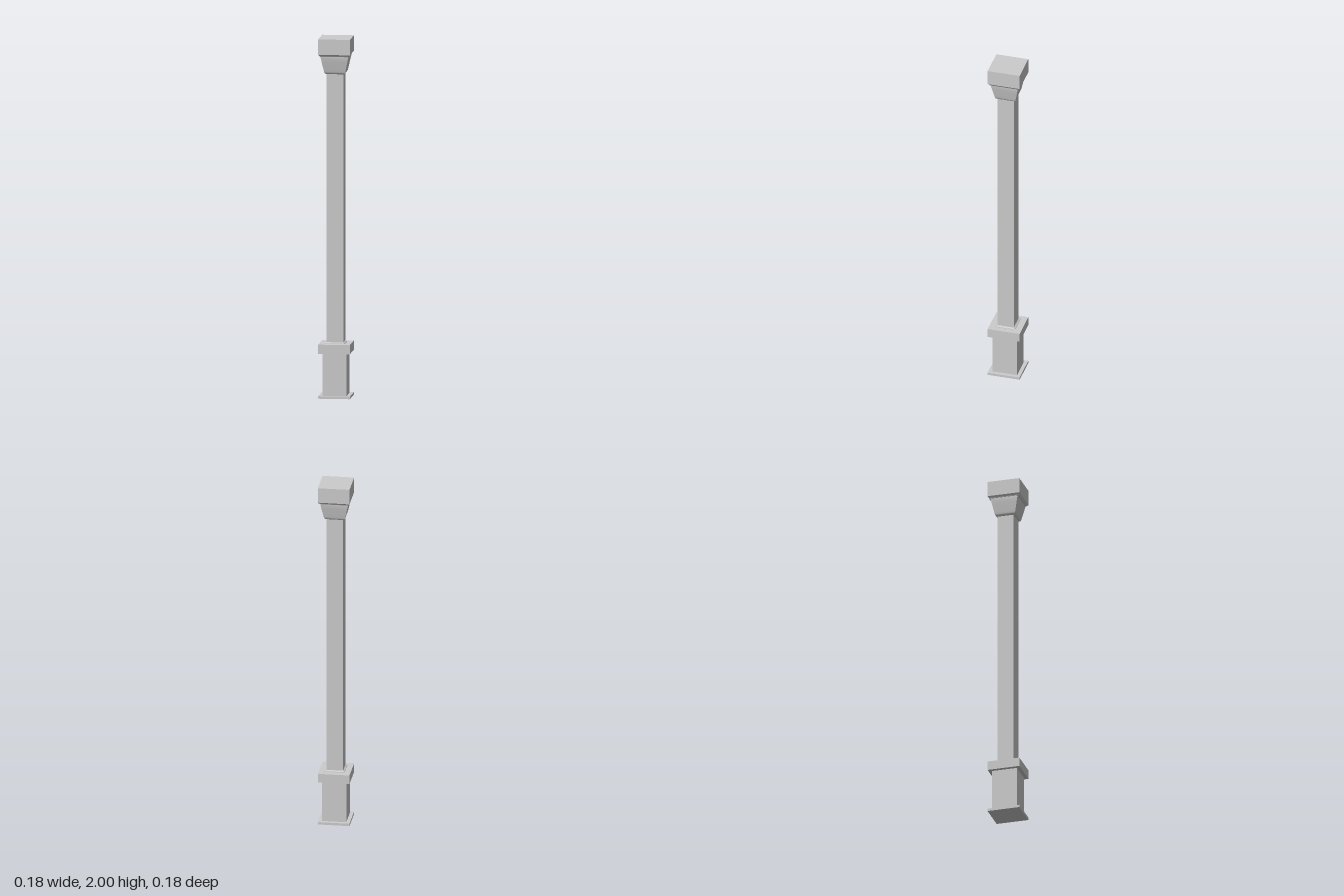
import * as THREE from 'three';
import { toCreasedNormals } from 'three/addons/utils/BufferGeometryUtils.js';

const material = new THREE.MeshStandardMaterial({ color: 0xcccccc });

// Box given by its half width, half depth, bottom and top
function block(name, halfX, halfZ, bottom, top) {
  const mesh = new THREE.Mesh(new THREE.BoxGeometry(halfX * 2, top - bottom, halfZ * 2), material);
  mesh.position.y = (bottom + top) / 2;
  mesh.name = name;
  return mesh;
}

// Square moulding: a [half width, height] profile swept around four sides
function moulding(name, profile, depthScale = 1) {
  const points = profile.map(([r, y]) => new THREE.Vector2(r * Math.SQRT2, y));
  const lathe = new THREE.LatheGeometry(points, 4, Math.PI / 4);
  lathe.scale(1, 1, depthScale);
  const mesh = new THREE.Mesh(toCreasedNormals(lathe, 0.6), material);
  mesh.name = name;
  return mesh;
}

export function createModel() {
  const column = new THREE.Group();
  column.name = 'column';

  // Pedestal
  column.add(
    block('basePlate', 0.088, 0.0915, 0, 0.014),
    block('pedestal', 0.0675, 0.071, 0.014, 0.25),
    block('pedestalCap', 0.088, 0.0915, 0.25, 0.301)
  );

  // Shaft with a small foot moulding
  column.add(
    moulding('shaftFoot', [[0.055, 0.301], [0.055, 0.304], [0.046, 0.309]]),
    block('shaft', 0.046, 0.046, 0.301, 1.81)
  );

  // Flared capital with a rounded underside
  column.add(
    moulding('capital', [
      [0.045, 1.802], [0.05, 1.802], [0.055, 1.806], [0.058, 1.812], [0.06, 1.82],
      [0.065, 1.842], [0.071, 1.87], [0.0765, 1.896], [0.0765, 1.902]
    ])
  );

  // Stepped neck under the top block
  column.add(
    moulding('abacusMoulding', [
      [0.07, 1.902], [0.079, 1.902], [0.081, 1.907], [0.085, 1.91], [0.088, 1.914]
    ], 1.04),
    block('abacus', 0.088, 0.0915, 1.914, 2)
  );

  return column;
}
